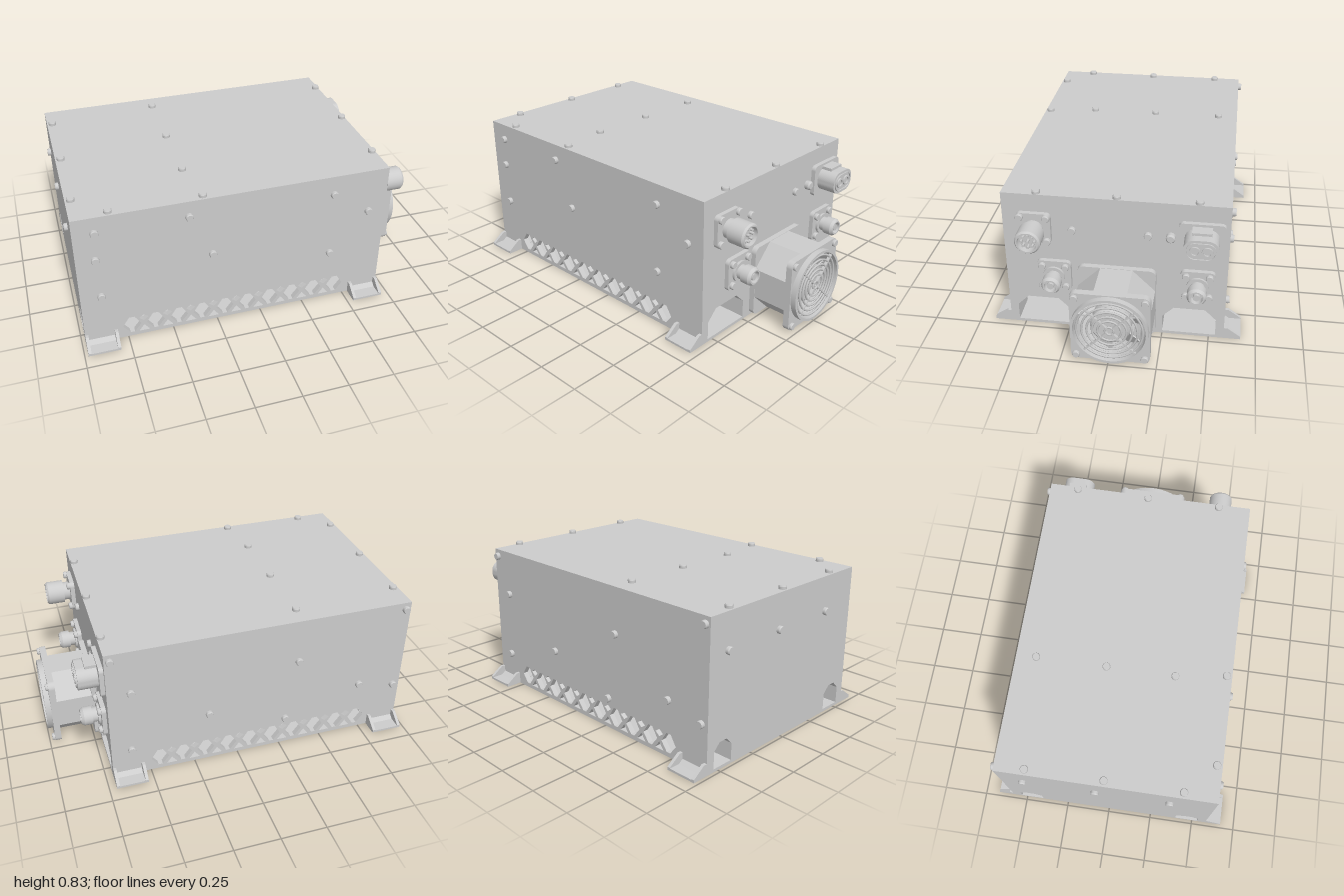
import * as THREE from 'three';

const mat = new THREE.MeshStandardMaterial({ color: 0xcccccc });
const thin = new THREE.MeshStandardMaterial({ color: 0xcccccc, side: THREE.DoubleSide });

function add(parent, name, geometry, x = 0, y = 0, z = 0, material = mat) {
  const m = new THREE.Mesh(geometry, material);
  m.name = name;
  m.position.set(x, y, z);
  parent.add(m);
  return m;
}

const poly = (pts, T = THREE.Shape) => new T(pts.map(p => new THREE.Vector2(p[0], p[1])));
const rect = (x0, y0, x1, y1) => poly([[x0, y0], [x1, y0], [x1, y1], [x0, y1]]);
const extrude = (shape, depth) =>
  new THREE.ExtrudeGeometry(shape, { depth, bevelEnabled: false, curveSegments: 12 });

function roundRect(w, h, r) {
  const s = new THREE.Shape(), a = w / 2 - r, b = h / 2 - r;
  s.absarc(a, b, r, 0, Math.PI / 2);
  s.absarc(-a, b, r, Math.PI / 2, Math.PI);
  s.absarc(-a, -b, r, Math.PI, Math.PI * 1.5);
  s.absarc(a, -b, r, Math.PI * 1.5, Math.PI * 2);
  s.closePath();
  return s;
}

function circleHole(shape, r, x = 0, y = 0) {
  const p = new THREE.Path();
  p.absarc(x, y, r, 0, Math.PI * 2, true);
  shape.holes.push(p);
  return shape;
}

// Solid or hollow turned part along +z from a [radius, z] profile
function turned(profile, segments = 32) {
  const pts = [];
  profile.forEach((p, i) => {
    pts.push(new THREE.Vector2(p[0], p[1]));
    // doubled points keep the edges sharp
    if (i > 0 && i < profile.length - 1) pts.push(new THREE.Vector2(p[0], p[1]));
  });
  return new THREE.LatheGeometry(pts, segments).rotateX(Math.PI / 2);
}

function bolts(parent, list, r = 0.021, h = 0.02, z = 0) {
  const g = turned([[0, 0], [r, 0], [r, h * 0.7], [r * 0.85, h], [0, h]], 16);
  for (const [x, y] of list) add(parent, 'bolt', g, x, y, z);
}

const corners = d => [[d, d], [-d, d], [d, -d], [-d, -d]];

// Each face group has x to the right, y up and z pointing out of the body
function face(root, name, pos, ry, rx = 0) {
  const g = new THREE.Group();
  g.name = name;
  g.position.set(...pos);
  g.rotation.set(rx, ry, 0);
  root.add(g);
  return g;
}

// Diamond lattice vents cut into a long wall; dir mirrors them for the back
function sidePanel(dir) {
  const mid = -0.135 * dir, half = 0.845;
  const s = rect(mid - half, 0.012, mid + half, 0.79);
  const hole = pts => s.holes.push(poly(pts, THREE.Path));
  for (let i = 0; i < 10; i++) {
    const c = dir * (-0.79 + 0.13 * (i + 0.5)), b = c + 0.065;
    hole([[c - 0.05, 0.075], [c - 0.015, 0.13], [c + 0.015, 0.13],
      [c + 0.05, 0.075], [c + 0.012, 0.025], [c - 0.012, 0.025]]);
    if (i === (dir > 0 ? 9 : 0)) continue;
    hole([[b, 0.093], [b + 0.026, 0.114], [b, 0.134], [b - 0.026, 0.114]]);
    hole([[b - 0.03, 0.022], [b + 0.03, 0.022], [b, 0.062]]);
  }
  return extrude(s, 0.03).translate(0, 0, -0.03);
}

// End wall with two chamfered openings spanning |x| = a..b
function endPanel(a, b, h, c) {
  const s = rect(-0.55, 0.012, 0.55, 0.79);
  for (const m of [-1, 1]) {
    s.holes.push(poly([[a, 0.016], [b, 0.016], [b, h - c], [b - c, h], [a + c, h], [a, h - c]]
      .map(([x, y]) => [x * m, y]), THREE.Path));
  }
  return extrude(s, 0.17).translate(0, 0, -0.17);
}

function foot(root, x, side) {
  const g = new THREE.Group();
  g.name = 'mountingFoot';
  g.position.set(x, 0, side * 0.58);
  if (side < 0) g.rotation.y = Math.PI;
  root.add(g);
  add(g, 'footPlate', new THREE.BoxGeometry(0.175, 0.012, 0.09), 0, 0.006, 0.045);
  const gusset = extrude(poly([[0, 0.012], [-0.09, 0.012], [-0.09, 0.016], [-0.02, 0.066], [0, 0.066]]), 0.017);
  gusset.rotateY(Math.PI / 2);
  for (const gx of [-0.0875, 0.0705]) add(g, 'footGusset', gusset, gx);
  add(g, 'footFillet', extrude(poly([[0, 0.012], [-0.025, 0.012], [0, 0.03]]), 0.15).rotateY(Math.PI / 2), -0.075);
}

function roundConnector(parent, x, y, plate, pitch, profile) {
  const g = new THREE.Group();
  g.name = 'roundConnector';
  g.position.set(x, y, 0);
  parent.add(g);
  add(g, 'connectorFlange', extrude(roundRect(plate, plate, 0.025), 0.024));
  bolts(g, corners(pitch), 0.02, 0.018, 0.024);
  add(g, 'connectorBarrel', turned(profile));
  return g;
}

function fan(parent) {
  const g = new THREE.Group();
  g.name = 'fan';
  g.position.set(0.01, 0.212, 0);
  parent.add(g);
  const flange = circleHole(roundRect(0.41, 0.41, 0.035), 0.192);
  add(g, 'rearFlange', extrude(flange, 0.03));
  add(g, 'frontFlange', extrude(flange, 0.035), 0, 0, 0.225);
  // Eight-sided duct with a round bore
  const oct = [];
  for (let i = 0; i < 8; i++) {
    const a = (i + 0.5) * Math.PI / 4, r = 0.203 / Math.cos(Math.PI / 8);
    oct.push([r * Math.cos(a), r * Math.sin(a)]);
  }
  add(g, 'fanDuct', extrude(circleHole(poly(oct), 0.192), 0.195), 0, 0, 0.03);
  bolts(g, corners(0.178), 0.02, 0.015, 0.26);
  add(g, 'fanHub', turned([[0, 0.01], [0.105, 0.01], [0.105, 0.235], [0.095, 0.245], [0, 0.245]], 40));
  const blade = new THREE.Shape();
  blade.absarc(0, 0, 0.185, -0.32, 0.32, false);
  blade.absarc(0, 0, 0.098, 0.32, -0.32, true);
  const bladeGeo = extrude(blade, 0.006).rotateX(0.6);
  for (let i = 0; i < 7; i++) add(g, 'fanBlade', bladeGeo, 0, 0, 0.17).rotation.z = i * Math.PI * 2 / 7;
  // Finger guard
  for (const r of [0.022, 0.06, 0.088, 0.116, 0.143, 0.17, 0.192]) {
    add(g, 'guardRing', new THREE.TorusGeometry(r, 0.006, 6, 48), 0, 0, 0.276);
  }
  for (let i = 0; i < 4; i++) {
    const spoke = add(g, 'guardSpoke', new THREE.BoxGeometry(0.175, 0.008, 0.016), 0, 0, 0.277);
    const a = Math.PI / 4 + i * Math.PI / 2;
    spoke.position.set(0.105 * Math.cos(a), 0.105 * Math.sin(a), 0.274);
    spoke.rotation.z = a;
  }
  add(g, 'guardRim', turned([[0.186, 0.255], [0.2, 0.255], [0.2, 0.29], [0.186, 0.29], [0.186, 0.255]], 48));
}

function twinConnector(parent, x, y) {
  const g = new THREE.Group();
  g.name = 'twinPinConnector';
  g.position.set(x, y, 0);
  parent.add(g);
  add(g, 'connectorFlange', extrude(roundRect(0.235, 0.178, 0.025), 0.024));
  add(g, 'connectorShell', extrude(roundRect(0.175, 0.125, 0.055), 0.105), 0, 0, 0.024);
  const rim = roundRect(0.15, 0.098, 0.045);
  rim.holes.push(new THREE.Path(roundRect(0.138, 0.086, 0.04).getPoints(8)));
  add(g, 'shellRim', extrude(rim, 0.008), 0, 0, 0.128);
  for (const px of [-0.031, 0.031]) {
    add(g, 'pinSocket', turned([[0.018, 0.128], [0.028, 0.128], [0.028, 0.138], [0.018, 0.138], [0.018, 0.128]], 24), px);
  }
  add(g, 'lockingTab', new THREE.BoxGeometry(0.1, 0.02, 0.06), 0, 0.066, 0.054);
}

export function createModel() {
  const root = new THREE.Group();
  root.name = 'equipmentBox';

  add(root, 'floor', new THREE.BoxGeometry(1.69, 0.012, 1.16), -0.135, 0.006, 0);
  add(root, 'lid', new THREE.BoxGeometry(1.69, 0.02, 1.16), -0.135, 0.8, 0);

  const front = face(root, 'frontFace', [0, 0, 0.58], 0);
  const back = face(root, 'backFace', [0, 0, -0.58], Math.PI);
  const right = face(root, 'connectorFace', [0.71, 0, 0], Math.PI / 2);
  const left = face(root, 'plainEndFace', [-0.98, 0, 0], -Math.PI / 2);
  const top = face(root, 'topFace', [0, 0.81, 0], 0, -Math.PI / 2);

  add(front, 'latticeWall', sidePanel(1), 0, 0, 0, thin);
  add(back, 'latticeWall', sidePanel(-1), 0, 0, 0, thin);
  add(right, 'endWall', endPanel(0.25, 0.535, 0.175, 0.06), 0, 0, 0, thin);
  add(left, 'endWall', endPanel(0.4, 0.53, 0.15, 0.04), 0, 0, 0, thin);

  bolts(front, [[-0.87, 0.72], [-0.88, 0.555], [-0.87, 0.315], [-0.39, 0.72],
    [-0.27, 0.46], [0.4, 0.7], [0.61, 0.555], [0.4, 0.315]]);
  bolts(back, [[-0.68, 0.77], [0.95, 0.77], [-0.585, 0.555], [0.34, 0.555], [0.94, 0.265],
    [-0.6, 0.175], [0.28, 0.175], [0.72, 0.315], [-0.165, 0.315]]);
  bolts(left, [[-0.45, 0.615], [-0.06, 0.615], [0.34, 0.615]]);
  bolts(right, [[-0.22, 0.617], [0.17, 0.617]]);
  bolts(top, [[-0.79, -0.55], [-0.31, -0.55], [-0.35, 0.47], [-0.35, 0.09], [-0.35, -0.28]]);
  for (const x of [-0.95, 0.69]) bolts(top, [[x, 0.42], [x, 0.01], [x, -0.4]]);

  for (const x of [-0.8925, 0.6225]) for (const side of [-1, 1]) foot(root, x, side);

  // Connector end
  fan(right);
  const big = roundConnector(right, -0.415, 0.622, 0.178, 0.068,
    [[0, 0.02], [0.052, 0.02], [0.052, 0.06], [0.066, 0.06], [0.066, 0.15], [0.058, 0.16],
      [0.05, 0.16], [0.05, 0.125], [0, 0.125]]);
  for (let i = 0; i < 9; i++) {
    const a = i * Math.PI * 2 / 8, r = i < 8 ? 0.033 : 0;
    add(big, 'contactPin', turned([[0.007, 0.12], [0.007, 0.15], [0, 0.15]], 10), r * Math.cos(a), r * Math.sin(a));
  }
  for (const x of [-0.32, 0.43]) {
    roundConnector(right, x, 0.34, 0.18, 0.061,
      [[0, 0.02], [0.058, 0.02], [0.058, 0.036], [0.04, 0.036], [0.04, 0.065], [0.05, 0.065], [0.05, 0.11],
        [0.04, 0.125], [0.032, 0.125], [0.032, 0.09], [0.018, 0.09], [0.018, 0.12], [0, 0.12]]);
  }
  twinConnector(right, -0.001 + 0.443, 0.628);
  add(right, 'ventFitting', turned([[0, 0], [0.025, 0], [0.025, 0.022], [0.018, 0.03], [0, 0.03]], 12), 0.285, 0.62);
  return root;
}
